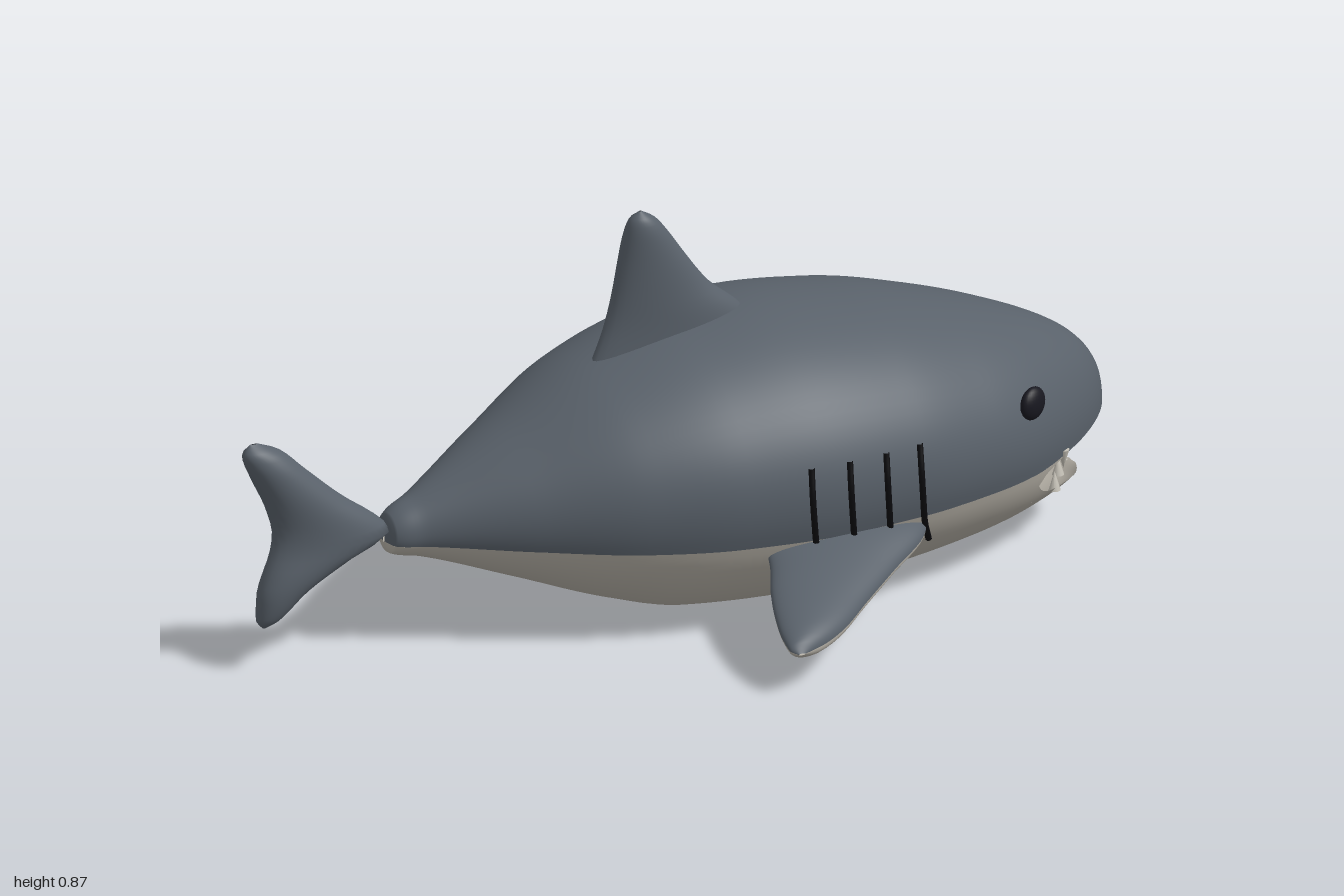
import * as THREE from 'three';

const mat = (name, color) => {
  const m = new THREE.MeshStandardMaterial({ color, side: THREE.DoubleSide });
  m.name = name;
  return m;
};

// Smooth monotone interpolation through rows [t, value, ...]
function interp(rows, t, col = 1) {
  const n = rows.length - 1;
  if (t <= rows[0][0]) return rows[0][col];
  if (t >= rows[n][0]) return rows[n][col];
  const slope = (i) => (rows[i + 1][col] - rows[i][col]) / (rows[i + 1][0] - rows[i][0]);
  const tangent = (i) => {
    if (i === 0) return slope(0);
    if (i === n) return slope(n - 1);
    const a = slope(i - 1), b = slope(i);
    return a * b <= 0 ? 0 : (2 * a * b) / (a + b);
  };
  let i = 0;
  while (t > rows[i + 1][0]) i++;
  const h = rows[i + 1][0] - rows[i][0], s = (t - rows[i][0]) / h;
  const s2 = s * s, s3 = s2 * s;
  return (2 * s3 - 3 * s2 + 1) * rows[i][col] + (s3 - 2 * s2 + s) * h * tangent(i)
    + (3 * s2 - 2 * s3) * rows[i + 1][col] + (s3 - s2) * h * tangent(i + 1);
}

// Surface from a grid of points f(u, v); faces point along du x dv
function grid(nu, nv, f) {
  const pos = [], idx = [];
  for (let i = 0; i <= nu; i++) for (let j = 0; j <= nv; j++) pos.push(...f(i / nu, j / nv));
  for (let i = 0; i < nu; i++) for (let j = 0; j < nv; j++) {
    const a = i * (nv + 1) + j, b = a + nv + 1;
    idx.push(a, b, b + 1, a, b + 1, a + 1);
  }
  const g = new THREE.BufferGeometry();
  g.setAttribute('position', new THREE.Float32BufferAttribute(pos, 3));
  g.setIndex(idx);
  g.computeVertexNormals();
  return g;
}
const ease = (u) => (1 - Math.cos(Math.PI * u)) / 2;

// Body profiles along x
const TOP = [[-.672, .262], [-.665, .295], [-.6, .33], [-.4, .44], [-.2, .545], [0, .6], [.17, .617], [.4, .594],
  [.6, .545], [.8, .473], [.9, .42], [.95, .376], [.98, .33], [.995, .285], [1, .25]];
const BOTTOM = [[-.672, .236], [-.665, .212], [-.6, .195], [-.4, .12], [-.2, .042], [-.05, 0], [.17, -.013], [.4, 0],
  [.6, .02], [.8, .053], [.9, .082], [.935, .106], [1, .13]];
const WIDTH = [[-.672, .004], [-.665, .04], [-.6, .07], [-.4, .19], [-.2, .3], [0, .36], [.2, .381], [.4, .365],
  [.6, .315], [.7, .275], [.8, .215], [.9, .14], [.95, .09], [.98, .047], [1, 0]];
const CENTRE = [[-.672, .25], [-.4, .28], [0, .31], [.3, .31], [.6, .285], [.8, .262], [1, .25]];
const SEAM = [[-.672, .238], [-.4, .225], [0, .215], [.7, .21], [.85, .222], [1, .25]];
const LOWER_LIP = [[.735, .173], [.755, .15], [.81, .124], [.935, .107]];
const UPPER_LIP = [[.735, .173], [.755, .197], [.815, .217]];

function skin(x, a) {
  const c = interp(CENTRE, x), s = Math.sin(a);
  const r = s > 0 ? interp(TOP, x) - c : c - interp(BOTTOM, x);
  return [x, Math.max(0, c + r * s), interp(WIDTH, x) * Math.cos(a)];
}
function angleAt(x, y) {
  const c = interp(CENTRE, x);
  const r = y > c ? interp(TOP, x) - c : c - interp(BOTTOM, x);
  return Math.asin(THREE.MathUtils.clamp((y - c) / r, -1, 1));
}
const shell = (x0, x1, nu, nv, from, to) => grid(nu, nv, (u, v) => {
  const x = THREE.MathUtils.lerp(x0, x1, ease(u));
  return skin(x, THREE.MathUtils.lerp(from(x), to(x), v));
});

// Fin rows: [span, trailing x, leading x, half thickness, offset]
function fin(rows, place, from = 0, to = 2 * Math.PI, flip = false) {
  const s0 = rows[0][0], s1 = rows[rows.length - 1][0];
  return grid(32, 32, (u, v) => {
    const s = THREE.MathUtils.lerp(s0, s1, ease(u));
    const a = THREE.MathUtils.lerp(from, to, flip ? 1 - v : v);
    const [back, front, thick, off] = [1, 2, 3, 4].map((k) => interp(rows, s, k));
    return place(s, (back + front) / 2 + (front - back) / 2 * Math.cos(a), off + thick * Math.sin(a));
  });
}
const DORSAL = [[.52, -.2, .23, .05, .005], [.62, -.16, .15, .05, .007], [.68, -.145, .08, .048, .01],
  [.76, -.132, .018, .043, .016], [.82, -.122, -.025, .036, .022], [.855, -.112, -.055, .024, .027], [.874, -.092, -.086, .002, .03]];
const TAIL = [[.097, -.955, -.945, .002, 0], [.115, -.968, -.915, .022, 0], [.17, -.965, -.85, .04, 0], [.22, -.95, -.755, .048, 0],
  [.265, -.935, -.66, .05, 0], [.3, -.93, -.69, .05, 0], [.36, -.945, -.77, .05, 0], [.44, -.982, -.86, .045, 0],
  [.49, -1, -.915, .03, 0], [.513, -.985, -.965, .002, 0]];
const PECTORAL = [[.3, .06, .44, .035, .195], [.36, .04, .4, .04, .175], [.44, 0, .29, .038, .15], [.52, -.03, .18, .035, .125],
  [.58, -.045, .1, .03, .107], [.615, -.048, .035, .02, .097], [.632, -.035, -.02, .002, .092]];

export function createModel() {
  const root = new THREE.Group();
  root.name = 'shark';
  const grey = mat('slateGrey', 0x59616a), pale = mat('paleBelly', 0xb5b0a6);
  const black = mat('gillBlack', 0x0b0b0e), eyeMat = mat('eyeBlack', 0x181820), ivory = mat('toothIvory', 0xc4c0b6);
  const add = (name, g, m) => {
    const mesh = new THREE.Mesh(g, m);
    mesh.name = name;
    root.add(mesh);
    return mesh;
  };

  // Hollow body: dark back, pale belly, open jaw
  const seam = (x) => angleAt(x, interp(SEAM, x));
  const lower = (x) => angleAt(x, interp(LOWER_LIP, x));
  const upper = (x) => angleAt(x, Math.min(interp(UPPER_LIP, x), interp(SEAM, x)));
  add('back', shell(-.672, 1, 96, 48, seam, (x) => Math.PI - seam(x)), grey);
  add('belly', shell(-.672, .735, 72, 40, (x) => -Math.PI - seam(x), seam), pale);
  add('lowerJaw', shell(.735, .935, 24, 40, (x) => -Math.PI - lower(x), lower), pale);
  add('leftLip', shell(.735, .815, 10, 3, upper, seam), pale);
  add('rightLip', shell(.735, .815, 10, 3, (x) => Math.PI - seam(x), (x) => Math.PI - upper(x)), pale);

  // Upright fins
  const upright = (s, x, w) => [x, s, w];
  add('dorsalFin', fin(DORSAL, upright), grey);
  add('tailFin', fin(TAIL, upright), grey);

  for (const side of [1, -1]) {
    const label = side > 0 ? 'front' : 'rear';

    // Pectoral fin, dark above and pale below
    const flat = (s, x, w) => [x, w, side * s];
    add(label + 'PectoralTop', fin(PECTORAL, flat, 0, Math.PI, side > 0), grey);
    add(label + 'PectoralUnderside', fin(PECTORAL, flat, Math.PI, 2 * Math.PI, side > 0), pale);

    // Eye
    const eye = add(label + 'Eye', new THREE.SphereGeometry(.036, 24, 16), eyeMat);
    eye.position.set(.705, .375, side * .262);
    eye.rotation.y = side * .45;
    eye.scale.z = .5;

    // Gill slits follow the skin
    for (const x0 of [.132, .22, .308, .392]) {
      const pts = [[0, .38], [-.002, .32], [.004, .26], [.018, .2], [.048, .14]].map(([dx, y]) => {
        const p = skin(x0 + dx, angleAt(x0 + dx, y));
        return new THREE.Vector3(p[0], p[1], side * (p[2] + .002));
      });
      add(label + 'Gill', new THREE.TubeGeometry(new THREE.CatmullRomCurve3(pts), 20, .007, 8), black);
    }
  }

  // Teeth: upper row points down, lower row points up
  const tooth = (name, x, y, z, down) => {
    const t = add(name, new THREE.ConeGeometry(.013, .042, 10), ivory);
    t.position.set(x, y, z);
    if (down) t.rotation.x = Math.PI;
  };
  for (let i = -4; i <= 4; i++) tooth('upperTooth', .945 - .034 * Math.abs(i), .212 - .001 * Math.abs(i), i * .05, true);
  for (let i = -2; i <= 2; i++) tooth('lowerTooth', .91 - .045 * Math.abs(i), .135, i * .07, false);

  return root;
}
